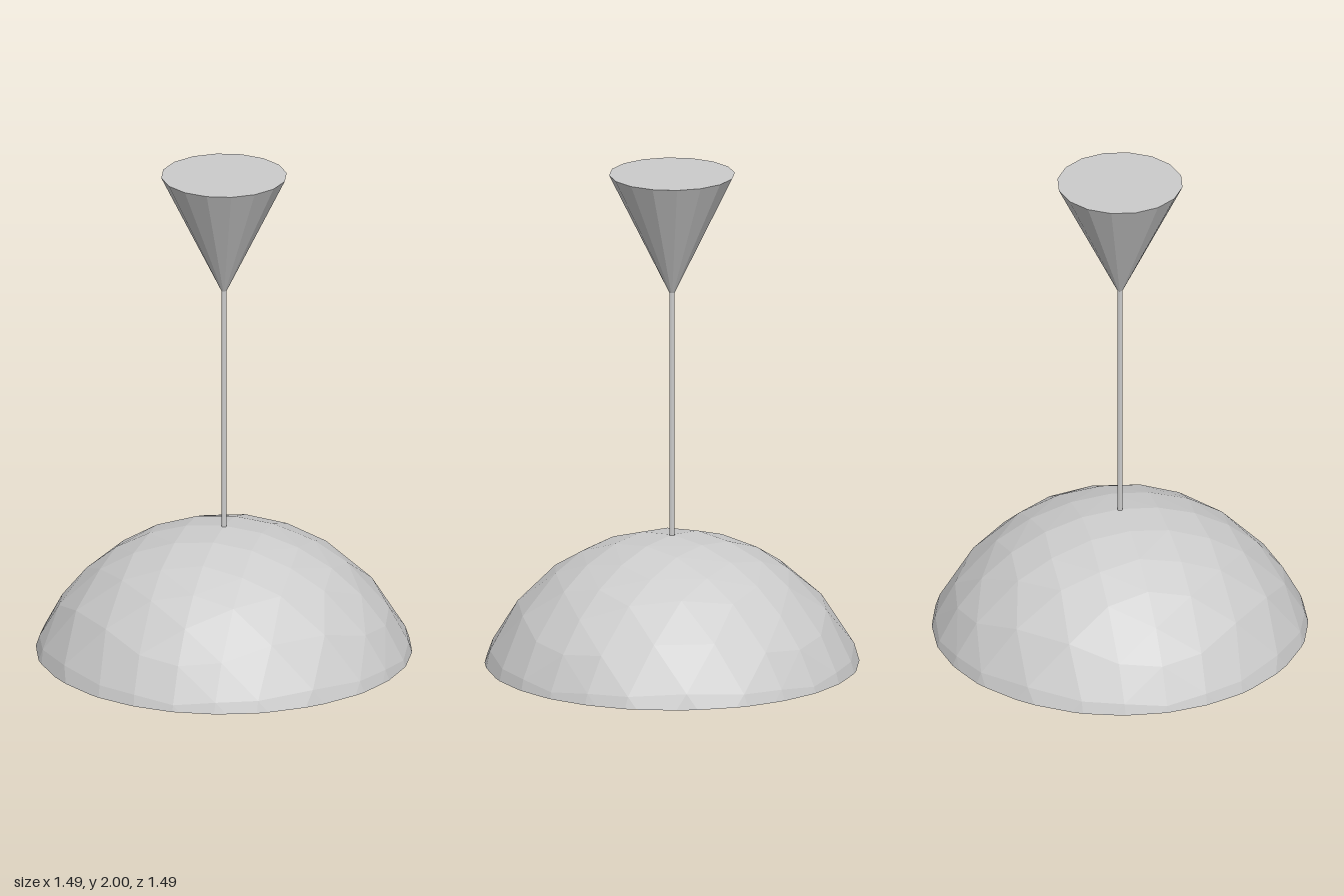
import * as THREE from 'three';

const RADIUS = 0.8; // sphere the shade is cut from
const CUT = 0.28; // height of the cut above the sphere centre

const material = () =>
  new THREE.MeshStandardMaterial({ color: 0xcccccc, flatShading: true, side: THREE.DoubleSide });

// Split a spherical triangle into four, repeatedly
function subdivide(a, b, c, depth, out) {
  if (depth === 0) {
    out.push([a, b, c]);
    return;
  }
  const mid = (p, q) => p.clone().add(q).setLength(RADIUS);
  const ab = mid(a, b), bc = mid(b, c), ca = mid(c, a);
  subdivide(a, ab, ca, depth - 1, out);
  subdivide(ab, b, bc, depth - 1, out);
  subdivide(ca, bc, c, depth - 1, out);
  subdivide(ab, bc, ca, depth - 1, out);
}

// Keep only the part of a polygon above the cut
function clip(polygon) {
  const kept = [];
  polygon.forEach((p, i) => {
    const q = polygon[(i + 1) % polygon.length];
    if (p.y >= CUT) kept.push(p);
    if ((p.y >= CUT) !== (q.y >= CUT)) {
      kept.push(p.clone().lerp(q, (CUT - p.y) / (q.y - p.y)));
    }
  });
  return kept;
}

// Faceted cap of an octahedral sphere, open at the bottom
function shadeGeometry() {
  const top = new THREE.Vector3(0, RADIUS, 0);
  const ring = [[0, 1], [1, 0], [0, -1], [-1, 0]].map(
    ([x, z]) => new THREE.Vector3(x * RADIUS, 0, z * RADIUS)
  );
  const triangles = [];
  ring.forEach((p, i) => subdivide(top, p, ring[(i + 1) % 4], 3, triangles));

  const points = [];
  for (const triangle of triangles) {
    const poly = clip(triangle);
    for (let i = 1; i + 1 < poly.length; i++) points.push(poly[0], poly[i], poly[i + 1]);
  }
  const geometry = new THREE.BufferGeometry().setFromPoints(points);
  geometry.translate(0, -CUT, 0);
  geometry.computeVertexNormals();
  return geometry;
}

export function createModel() {
  const group = new THREE.Group();
  const add = (name, geometry, y) => {
    const mesh = new THREE.Mesh(geometry, material());
    mesh.name = name;
    mesh.position.y = y;
    group.add(mesh);
  };

  add('shade', shadeGeometry(), 0);
  // Cord from the shade up into the tip of the canopy
  add('cord', new THREE.CylinderGeometry(0.011, 0.011, 1.01, 12), 1.015);
  // Inverted cone at the ceiling
  add('canopy', new THREE.CylinderGeometry(0.25, 0.004, 0.5, 16), 1.75);

  return group;
}
